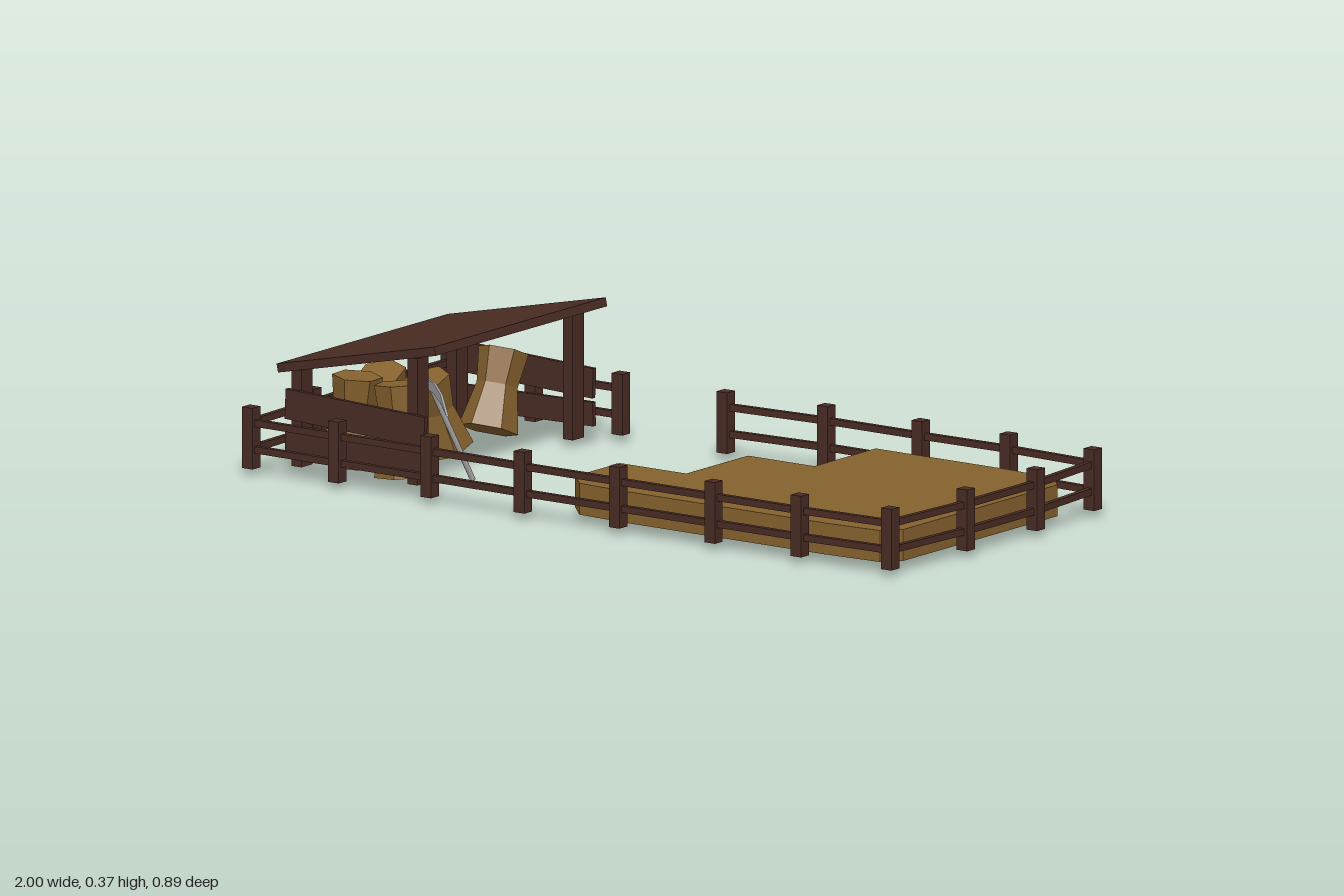
import * as THREE from 'three';

const wood = new THREE.MeshStandardMaterial({ color: 0x4a2c24 });
wood.name = 'dark wood';
const straw = new THREE.MeshStandardMaterial({ color: 0x86622e, side: THREE.DoubleSide });
straw.name = 'straw';
const steel = new THREE.MeshStandardMaterial({ color: 0xa2a2a4, side: THREE.DoubleSide });
steel.name = 'steel';

const V = (x, y, z) => new THREE.Vector3(x, y, z);

function add(parent, name, geometry, material, x = 0, y = 0, z = 0) {
  const mesh = new THREE.Mesh(geometry, material);
  mesh.name = name;
  mesh.position.set(x, y, z);
  parent.add(mesh);
  return mesh;
}

function box(parent, name, w, h, d, x, y, z, material = wood) {
  return add(parent, name, new THREE.BoxGeometry(w, h, d), material, x, y, z);
}

// Posts with two rails between neighbours, along a list of [x, z] points
function fenceRun(parent, points) {
  points.forEach(([x, z], i) => {
    box(parent, 'fencePost', 0.032, 0.152, 0.032, x, 0.109, z);
    if (i === 0) return;
    const [px, pz] = points[i - 1];
    for (const y of [0.08, 0.146]) {
      const rail = box(parent, 'fenceRail', Math.hypot(x - px, z - pz), 0.017, 0.014, (x + px) / 2, y, (z + pz) / 2);
      rail.rotation.y = -Math.atan2(z - pz, x - px);
    }
  });
}

// Flat horizontal polygon from [x, z] points
function flat(points, y) {
  const shape = new THREE.Shape(points.map(([x, z]) => new THREE.Vector2(x, -z)));
  return new THREE.ShapeGeometry(shape).rotateX(-Math.PI / 2).translate(0, y, 0);
}

// Crop block: a top and side walls, open underneath
function cropBlock(parent, points, y0, y1) {
  const group = new THREE.Group();
  group.name = 'cropBlock';
  parent.add(group);
  add(group, 'cropTop', flat(points, y1), straw);
  points.forEach(([x, z], i) => {
    const [nx, nz] = points[(i + 1) % points.length];
    const wall = add(group, 'cropWall', new THREE.PlaneGeometry(Math.hypot(nx - x, nz - z), y1 - y0), straw,
      (x + nx) / 2, (y0 + y1) / 2, (z + nz) / 2);
    wall.rotation.y = -Math.atan2(nz - z, nx - x);
  });
}

// Bound sheaf: six sided, pinched at the waist, standing from base to top
function sheaf(parent, base, top, turn) {
  const axis = top.clone().sub(base);
  const indexed = new THREE.CylinderGeometry(0.062, 0.074, axis.length(), 6, 2);
  const p = indexed.attributes.position;
  for (let i = 0; i < p.count; i++) {
    if (Math.abs(p.getY(i)) < 0.01) p.setXYZ(i, p.getX(i) * 0.74, 0.012, p.getZ(i) * 0.74);
  }
  const geometry = indexed.toNonIndexed().rotateY(turn);
  geometry.computeVertexNormals();
  const c = base.clone().add(top).multiplyScalar(0.5);
  const mesh = add(parent, 'strawSheaf', geometry, straw, c.x, c.y, c.z);
  mesh.quaternion.setFromUnitVectors(V(0, 1, 0), axis.normalize());
}

export function createModel() {
  const model = new THREE.Group();
  const part = (name) => {
    const g = new THREE.Group();
    g.name = name;
    model.add(g);
    return g;
  };

  // Fence with an opening at the back
  const fence = part('fence');
  fenceRun(fence, [
    [-0.14, -0.41], [0.15, -0.428], [0.435, -0.428], [0.697, -0.433], [0.96, -0.42],
    [0.983, -0.155], [0.983, 0.13], [0.965, 0.415], [0.7, 0.425], [0.44, 0.425], [0.152, 0.425],
    [-0.135, 0.425], [-0.42, 0.42], [-0.7, 0.418], [-0.962, 0.415],
    [-0.97, 0.155], [-0.984, -0.135], [-0.98, -0.42], [-0.73, -0.424], [-0.468, -0.426],
  ]);

  // Field of crop blocks, partly harvested in one corner
  const field = part('cropField');
  const xs = [-0.062, 0.139, 0.339, 0.539, 0.739, 0.938];
  const zs = [-0.374, -0.124, 0.128, 0.378];
  const y0 = 0.033, y1 = 0.111;
  for (let i = 0; i < 5; i++) {
    for (let j = 0; j < 3; j++) {
      const [a, b, c, d] = [xs[i], xs[i + 1], zs[j], zs[j + 1]];
      const harvested = (i === 0 && j < 2) || (i === 1 && j === 0);
      let pts = [[a, c], [a, d], [b, d], [b, c]];
      if (harvested) {
        const gap = j === 0 && i === 1 ? 0.006 : 0;
        add(field, 'stubble', flat([[a + gap, c], [a + gap, d], [b, d], [b, c]], y0 + 0.004), straw);
        continue;
      }
      // Bevelled outer corners
      if (i === 0 && j === 2) pts = [[a, c], [a, 0.31], [-0.005, 0.37], [b, d], [b, c]];
      if (i === 4 && j === 2) pts = [[a, c], [a, d], [0.9, 0.368], [b, 0.325], [b, c]];
      if (i === 4 && j === 0) pts = [[a, c], [a, d], [b, d], [b, -0.305], [0.885, -0.363]];
      cropBlock(field, pts, y0, y1);
    }
  }

  // Open shelter with a sloping roof
  const shelter = part('shelter');
  const slope = Math.atan2(0.102, 0.47);
  const roof = box(shelter, 'roof', 0.487, 0.022, 0.7, -0.697, 0.323, -0.005);
  roof.rotation.z = slope;
  for (const s of [-1, 1]) {
    const z = s * 0.317 - 0.003;
    box(shelter, 'tallPost', 0.03, 0.315, 0.046, -0.533, 0.19, z);
    box(shelter, 'shortPost', 0.03, 0.24, 0.046, -0.883, 0.152, z);
    const upper = box(shelter, 'upperPlank', 0.42, 0.075, 0.012, -0.7, 0.178, s * 0.344 - 0.003);
    upper.rotation.z = -0.04;
    const lower = box(shelter, 'lowerPlank', 0.42, 0.06, 0.012, -0.7, 0.09, s * 0.344 - 0.003);
    lower.rotation.z = 0.015;
  }

  // Straw sheaves leaning under the roof
  const sheaves = part('sheaves');
  sheaf(sheaves, V(-0.64, 0.022, 0.227), V(-0.66, 0.247, 0.22), 0.3);
  sheaf(sheaves, V(-0.8, 0.03, 0.225), V(-0.785, 0.25, 0.22), 0.1);
  sheaf(sheaves, V(-0.65, 0.06, 0.05), V(-0.66, 0.24, 0.115), 0);
  sheaf(sheaves, V(-0.8, 0.06, 0.055), V(-0.79, 0.24, 0.118), 0.2);
  sheaf(sheaves, V(-0.68, 0.06, -0.172), V(-0.69, 0.243, -0.248), 0);

  // Scythe propped against the sheaves
  const scythe = part('scythe');
  const foot = V(-0.468, 0.025, 0.178), head = V(-0.535, 0.275, 0.267);
  const shaft = head.clone().sub(foot);
  const mid = foot.clone().add(head).multiplyScalar(0.5);
  const handle = add(scythe, 'scytheHandle', new THREE.CylinderGeometry(0.007, 0.007, shaft.length(), 6), steel, mid.x, mid.y, mid.z);
  handle.quaternion.setFromUnitVectors(V(0, 1, 0), shaft.normalize());
  const outline = [[-0.03, -0.008], [0, -0.012], [0.05, -0.014], [0.1, -0.028], [0.145, -0.052],
    [0.1, -0.006], [0.05, 0.012], [0, 0.013], [-0.03, 0.004]];
  const blade = add(scythe, 'scytheBlade',
    new THREE.ExtrudeGeometry(new THREE.Shape(outline.map(([x, y]) => new THREE.Vector2(x, y))),
      { depth: 0.006, bevelEnabled: false }), steel, head.x, head.y - 0.004, head.z);
  blade.rotation.y = -Math.atan2(0.068, 0.1);

  return model;
}
